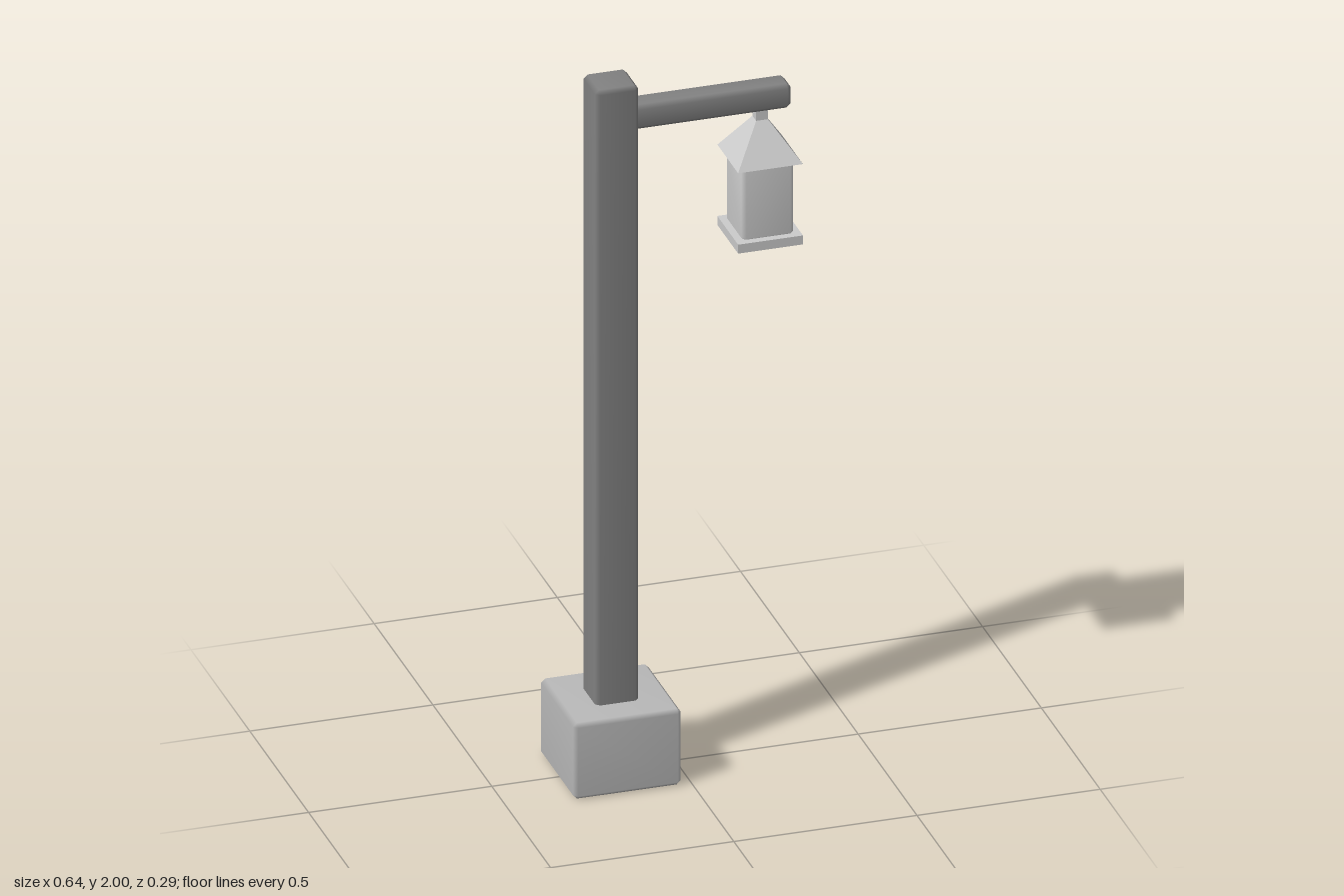
import * as THREE from 'three';
import { mergeVertices } from 'three/addons/utils/BufferGeometryUtils.js';
import { ConvexGeometry } from 'three/addons/geometries/ConvexGeometry.js';

const POST_X = -0.175;
const LAMP_X = 0.2325;

const stone = new THREE.MeshStandardMaterial({ color: 0xb9b9b9 });
const wood = new THREE.MeshStandardMaterial({ color: 0x828282 });
const grey = new THREE.MeshStandardMaterial({ color: 0xcccccc });
const greyFlat = new THREE.MeshStandardMaterial({ color: 0xcccccc, flatShading: true });

// Box with every edge cut by a single chamfer, softly shaded
function chamferBox(w, h, d, c = 0.011) {
  const points = [];
  for (const sx of [-1, 1]) for (const sy of [-1, 1]) for (const sz of [-1, 1]) {
    for (let axis = 0; axis < 3; axis++) {
      const inset = [c, c, c];
      inset[axis] = 0;
      points.push(new THREE.Vector3(
        sx * (w / 2 - inset[0]), sy * (h / 2 - inset[1]), sz * (d / 2 - inset[2])));
    }
  }
  const hull = new ConvexGeometry(points);
  hull.deleteAttribute('normal');
  const geometry = mergeVertices(hull, 1e-5);
  geometry.computeVertexNormals();
  return geometry;
}

// Four-sided frustum aligned with the axes, given half widths
function squareFrustum(topHalf, bottomHalf, h) {
  return new THREE.CylinderGeometry(topHalf * Math.SQRT2, bottomHalf * Math.SQRT2, h, 4)
    .rotateY(Math.PI / 4);
}

function part(parent, name, geometry, material, x, y) {
  const mesh = new THREE.Mesh(geometry, material);
  mesh.name = name;
  mesh.position.set(x, y, 0);
  parent.add(mesh);
}

export function createModel() {
  const model = new THREE.Group();
  model.name = 'lampPost';

  // Footing, post and the arm that runs into the post
  part(model, 'base', chamferBox(0.294, 0.22, 0.294), stone, POST_X, 0.11);
  part(model, 'post', chamferBox(0.118, 1.85, 0.118), wood, POST_X, 1.075);
  part(model, 'arm', chamferBox(0.457, 0.07, 0.072), wood, 0.0785, 1.895);

  // Hanging lantern
  const lantern = new THREE.Group();
  lantern.name = 'lantern';
  lantern.position.x = LAMP_X;
  part(lantern, 'hanger', new THREE.BoxGeometry(0.032, 0.06, 0.032), greyFlat, 0, 1.845);
  part(lantern, 'roof', squareFrustum(0.016, 0.0885, 0.107), greyFlat, 0, 1.7755);
  part(lantern, 'lampBody', chamferBox(0.142, 0.22, 0.142), grey, 0, 1.618);
  part(lantern, 'bottomPlate', new THREE.BoxGeometry(0.177, 0.026, 0.177), greyFlat, 0, 1.502);
  model.add(lantern);

  return model;
}
